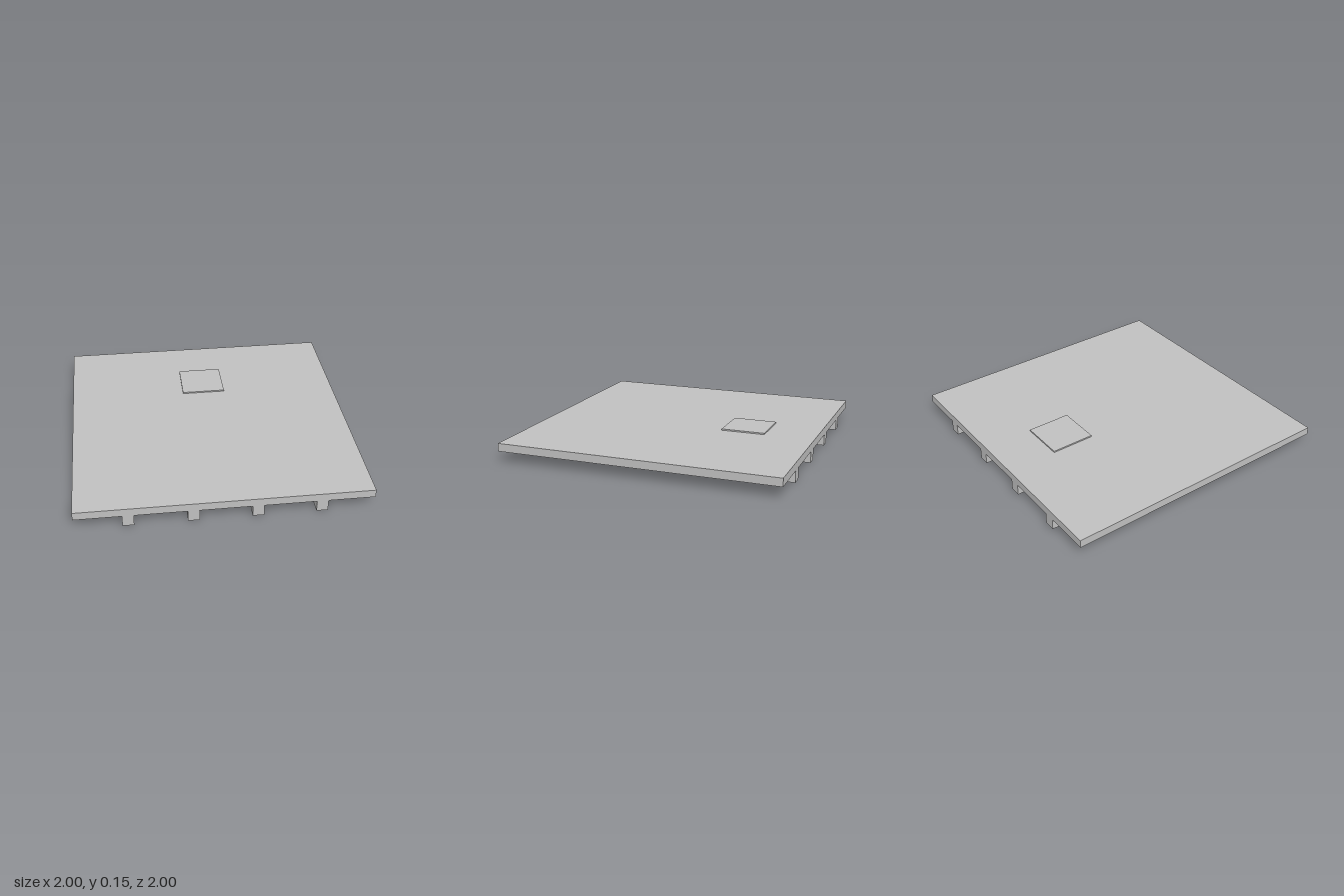
import * as THREE from 'three';

export function createModel() {
  const model = new THREE.Group();
  model.name = 'ribbedPlatform';
  const grey = new THREE.MeshStandardMaterial({ color: 0xc0c0c0 });
  grey.name = 'light grey';

  // Box placed by its bottom height
  function addBox(name, width, height, depth, x, bottom, z) {
    const mesh = new THREE.Mesh(new THREE.BoxGeometry(width, height, depth), grey);
    mesh.name = name;
    mesh.position.set(x, bottom + height / 2, z);
    model.add(mesh);
  }

  const ribHeight = 0.08;
  const slabHeight = 0.057;

  // Deck and the raised square pad towards the back
  addBox('deckSlab', 2, slabHeight, 2, 0, ribHeight, 0);
  addBox('raisedPad', 0.317, 0.01, 0.317, 0, ribHeight + slabHeight, -0.483);

  // Four evenly spaced ribs running front to back under the deck
  const spacing = 0.429;
  for (let i = 0; i < 4; i++) {
    addBox(`supportRib${i + 1}`, 0.077, ribHeight, 2, (i - 1.5) * spacing, 0, 0);
  }
  return model;
}
